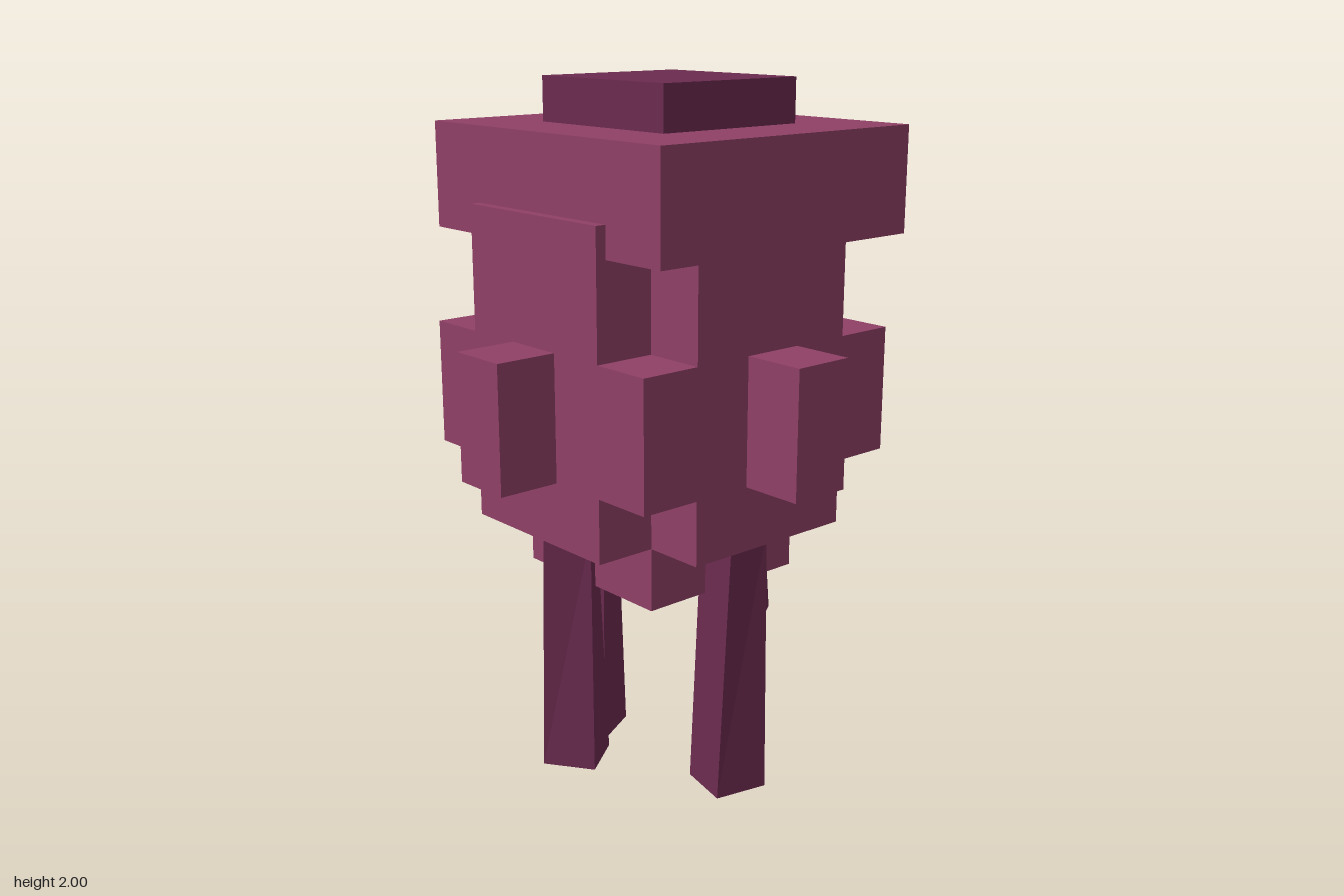
import * as THREE from 'three';

export function createModel() {
  const group = new THREE.Group();
  const rose = new THREE.MeshStandardMaterial({ color: 0x8f4066, flatShading: true });
  rose.name = 'rose';
  const plum = new THREE.MeshStandardMaterial({ color: 0x6b2b4f, flatShading: true });
  plum.name = 'dark plum';

  const add = (name, geometry, material) => {
    const mesh = new THREE.Mesh(geometry, material);
    mesh.name = name;
    group.add(mesh);
    return mesh;
  };

  // Box given by its limits on each axis
  const box = (name, [x0, x1], [y0, y1], [z0, z1], material) => {
    const g = new THREE.BoxGeometry(x1 - x0, y1 - y0, z1 - z0);
    g.translate((x0 + x1) / 2, (y0 + y1) / 2, (z0 + z1) / 2);
    return add(name, g, material);
  };

  // Plus-shaped layer: a square with its four corners notched out
  const a = 0.26, b = 0.433;
  const plus = new THREE.Shape([
    [b, -a], [b, a], [a, a], [a, b], [-a, b], [-a, a],
    [-b, a], [-b, -a], [-a, -a], [-a, -b], [a, -b], [a, -a],
  ].map(([x, y]) => new THREE.Vector2(x, y)));
  const plusLayer = (name, y0, y1) => {
    const g = new THREE.ExtrudeGeometry(plus, { depth: y1 - y0, bevelEnabled: false });
    g.rotateX(-Math.PI / 2);
    g.translate(0, y0, 0);
    add(name, g, rose);
  };

  // Stepped round body
  box('bodyBase', [-a, a], [0.645, 0.82], [-a, a], rose);
  plusLayer('bodyLowerLayer', 0.82, 0.995);
  box('bodyMiddleLayer', [-b, b], [0.995, 1.34], [-b, b], rose);
  plusLayer('bodyUpperLayer', 1.34, 1.68);

  // One knob on each side
  const r = 0.087, out = 0.608;
  const knobY = [0.995, 1.34];
  box('frontKnob', [-r, r], knobY, [b, out], rose);
  box('backKnob', [-r, r], knobY, [-out, -b], rose);
  box('leftKnob', [b, out], knobY, [-r, r], rose);
  box('rightKnob', [-out, -b], knobY, [-r, r], rose);

  // Slab cap, set slightly back, with a dark block on top
  box('cap', [-0.46, 0.46], [1.595, 1.88], [-0.46, 0.403], rose);
  box('capTop', [-0.243, 0.243], [1.88, 2], [-0.258, 0.203], plum);

  // Four-sided leg that widens and twists on its way down;
  // each end is [x, z, radius, turn in degrees]
  const leg = (name, foot, top, end) => {
    const g = new THREE.CylinderGeometry(1, 1, 1, 4, 1);
    const p = g.attributes.position;
    for (let i = 0; i < p.count; i++) {
      const upper = p.getY(i) > 0;
      const [cx, cz, radius, turn] = upper ? top : end;
      const t = THREE.MathUtils.degToRad(turn);
      const x = p.getX(i), z = p.getZ(i);
      p.setXYZ(i,
        cx + radius * (x * Math.cos(t) + z * Math.sin(t)),
        upper ? 0.825 : foot,
        cz + radius * (z * Math.cos(t) - x * Math.sin(t)));
    }
    g.computeVertexNormals();
    add(name, g, plum);
  };
  leg('rightLeg', 0, [-0.332, 0, 0.099, -10], [-0.332, 0, 0.119, -18]);
  leg('leftLeg', 0.07, [0.307, 0.006, 0.088, 42], [0.297, 0.01, 0.109, 32]);
  leg('frontLeg', 0.13, [-0.012, 0.315, 0.09, -1], [-0.013, 0.305, 0.105, -10]);
  leg('backLeg', 0.385, [-0.012, -0.338, 0.088, 5], [-0.012, -0.337, 0.105, -11]);

  return group;
}
